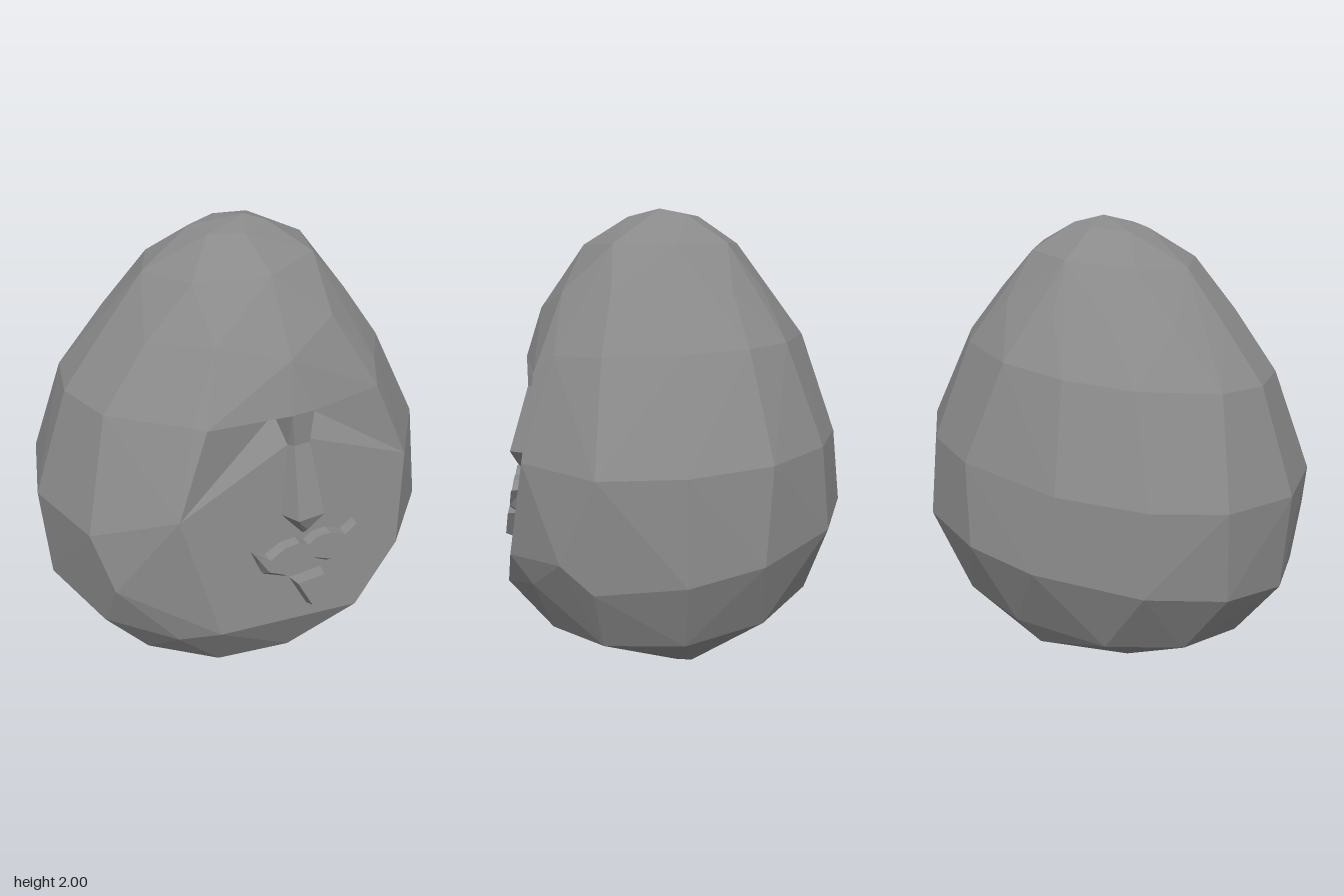
import * as THREE from 'three';
import { ConvexGeometry } from 'three/addons/geometries/ConvexGeometry.js';

const V = (x, y, z) => new THREE.Vector3(x, y, z);
// Sloping plane that the face is cut along
const planeZ = (y) => 0.73 - 0.165 * (y - 0.41);
const onFace = (x, y, out = 0) => V(x, y, planeZ(y) + out);

// Flat-sided surface from polygons, each fanned from its first corner
function facets(polygons) {
  const pts = [];
  for (const p of polygons) {
    for (let i = 1; i < p.length - 1; i++) pts.push(p[0], p[i], p[i + 1]);
  }
  const g = new THREE.BufferGeometry().setFromPoints(pts);
  g.computeVertexNormals();
  return g;
}

// Raised plate on the face: wide outline at the base, narrower one in front
function plate(base, front, depth) {
  const b = base.map(([x, y]) => onFace(x, y, -0.01));
  const f = front.map(([x, y]) => onFace(x, y, depth));
  const cap = THREE.ShapeUtils.triangulateShape(front.map(([x, y]) => new THREE.Vector2(x, y)), []);
  const polys = cap.map((t) => t.map((i) => f[i]));
  b.forEach((p, i) => {
    const j = (i + 1) % b.length;
    polys.push([p, b[j], f[j], f[i]]);
  });
  return facets(polys);
}

// Right half outline, top centre to bottom centre, mirrored into a closed loop
const mirror = (half) => [
  ...half,
  ...half.slice().reverse().filter(([x]) => x > 0).map(([x, y]) => [-x, y]),
];

export function createModel() {
  const group = new THREE.Group();
  const stone = new THREE.MeshStandardMaterial({ color: 0x8a8a8a, flatShading: true, side: THREE.DoubleSide });
  stone.name = 'grey stone';
  const add = (name, geometry) => {
    const m = new THREE.Mesh(geometry, stone);
    m.name = name;
    group.add(m);
  };

  // Corners of the face opening: temples, jaw, chin and brow bridge
  const browOut = [onFace(-0.39, 1.38), onFace(0.39, 1.38)];
  const temple = [onFace(-0.54, 1.05), onFace(0.53, 1.05)];
  const bridge = [V(-0.05, 1.38, 0.62), V(0.05, 1.38, 0.62)];
  const jaw = [onFace(0.48, 0.64), onFace(0.25, 0.41), onFace(-0.41, 0.51)];
  const outline = [...browOut, ...temple, ...bridge, ...jaw];

  // Egg body: rings of [height, -x radius, +x radius, front, back, sides, phase, backward rise]
  const rings = [
    [0.045, 0.33, 0.42, 0.31, 0.24, 8, 0, 0],
    [0.29, 0.68, 0.78, 0.63, 0.65, 12, 0, 0.11],
    [0.585, 0.875, 0.89, 0.76, 0.78, 14, 0, 0.16],
    [1.01, 0.9, 0.86, 0.87, 0.735, 14, 0, 0.05],
    [1.44, 0.74, 0.65, 0.65, 0.585, 14, 0, 0.04],
    [1.66, 0.55, 0.49, 0.51, 0.44, 12, 0, 0],
    [1.85, 0.38, 0.36, 0.36, 0.3, 8, 0, 0],
    [1.965, 0.16, 0.16, 0.17, 0.13, 6, 0.5, 0],
  ];
  // Extra corners at the crown, base, forehead, cheeks and lower back
  const points = [
    ...outline, V(0.06, 2, 0.04), V(0.12, 0, 0), V(-0.05, 0.005, 0.05), V(-0.02, 1.58, 0.553),
    V(0.74, 0.7, 0.48), V(-0.76, 0.7, 0.48), V(0.58, 0.17, -0.05), V(0, 0.21, -0.54),
  ];
  rings.forEach(([y, left, right, front, back, n, phase, rise], r) => {
    for (let i = 0; i < n; i++) {
      const wobble = 0.05 * Math.sin(r * 2.3 + i * 4.1);
      const a = ((i + phase) / n) * Math.PI * 2 + (i % (n / 2) ? wobble : 0);
      const c = Math.cos(a), s = Math.sin(a);
      const p = V(c * (c > 0 ? right : left), y, s * (s > 0 ? front : back));
      p.y += 0.08 * p.x - rise * p.z; // the egg leans slightly
      if (p.z < planeZ(p.y) - 0.015) points.push(p);
    }
  });

  // Convex shell with the face opening left out
  const hull = new ConvexGeometry(points).getAttribute('position');
  const isFace = (p) => outline.some((q) => q.distanceTo(p) < 1e-4);
  const shell = [];
  for (let i = 0; i < hull.count; i += 3) {
    const tri = [0, 1, 2].map((k) => new THREE.Vector3().fromBufferAttribute(hull, i + k));
    if (!tri.every(isFace)) shell.push(tri);
  }
  add('eggBody', facets(shell));

  // Flat cheeks and chin, with the upper edge meeting the nose root
  const noseRoot = [onFace(-0.05, 1.24), onFace(0.05, 1.24)];
  add('facePlane', facets([[noseRoot[0], temple[0], jaw[2], jaw[1], jaw[0], temple[1], noseRoot[1]]]));

  // Sunken eye sockets under overhanging brows
  [0, 1].forEach((k) => {
    const s = k ? 1 : -1;
    const deep = V(0.07 * s, 1.345, 0.515);
    add(k ? 'leftEyeSocket' : 'rightEyeSocket', facets([
      [browOut[k], deep, temple[k]],
      [temple[k], deep, noseRoot[k]],
    ]));
    add(k ? 'leftBrow' : 'rightBrow', facets([[browOut[k], bridge[k], deep]]));
    add(k ? 'leftBridgeSide' : 'rightBridgeSide', facets([
      [bridge[k], V(0.035 * s, 1.245, 0.622), noseRoot[k], deep],
    ]));
  });

  // Wedge nose
  const ridge = [V(-0.035, 1.245, 0.622), V(0.035, 1.245, 0.622)];
  const nostril = [V(-0.06, 0.95, 0.715), V(0.06, 0.95, 0.715)];
  const wing = [onFace(-0.095, 0.95), onFace(0.095, 0.95)];
  const tip = V(0, 0.875, 0.69);
  const tipBase = onFace(0, 0.84);
  const nose = [[...bridge, ridge[1], ridge[0]], [...ridge, nostril[1], nostril[0]], [...nostril, tip]];
  [0, 1].forEach((k) => nose.push(
    [ridge[k], nostril[k], wing[k], noseRoot[k]],
    [nostril[k], tip, tipBase, wing[k]],
  ));
  add('nose', facets(nose));

  // Curled moustache
  add('moustache', plate(
    mirror([[0, 0.81], [0.04, 0.835], [0.11, 0.835], [0.185, 0.805], [0.25, 0.835], [0.2, 0.71], [0.11, 0.67], [0.03, 0.71], [0, 0.7]]),
    mirror([[0, 0.805], [0.04, 0.83], [0.11, 0.828], [0.183, 0.795], [0.243, 0.83], [0.19, 0.745], [0.11, 0.705], [0.03, 0.74], [0, 0.73]]),
    0.04,
  ));

  // Pointed chin beard
  add('chinBeard', plate(
    [[-0.08, 0.66], [0.08, 0.66], [0, 0.505]],
    [[-0.065, 0.655], [0.065, 0.655], [0, 0.53]],
    0.05,
  ));
  return group;
}
